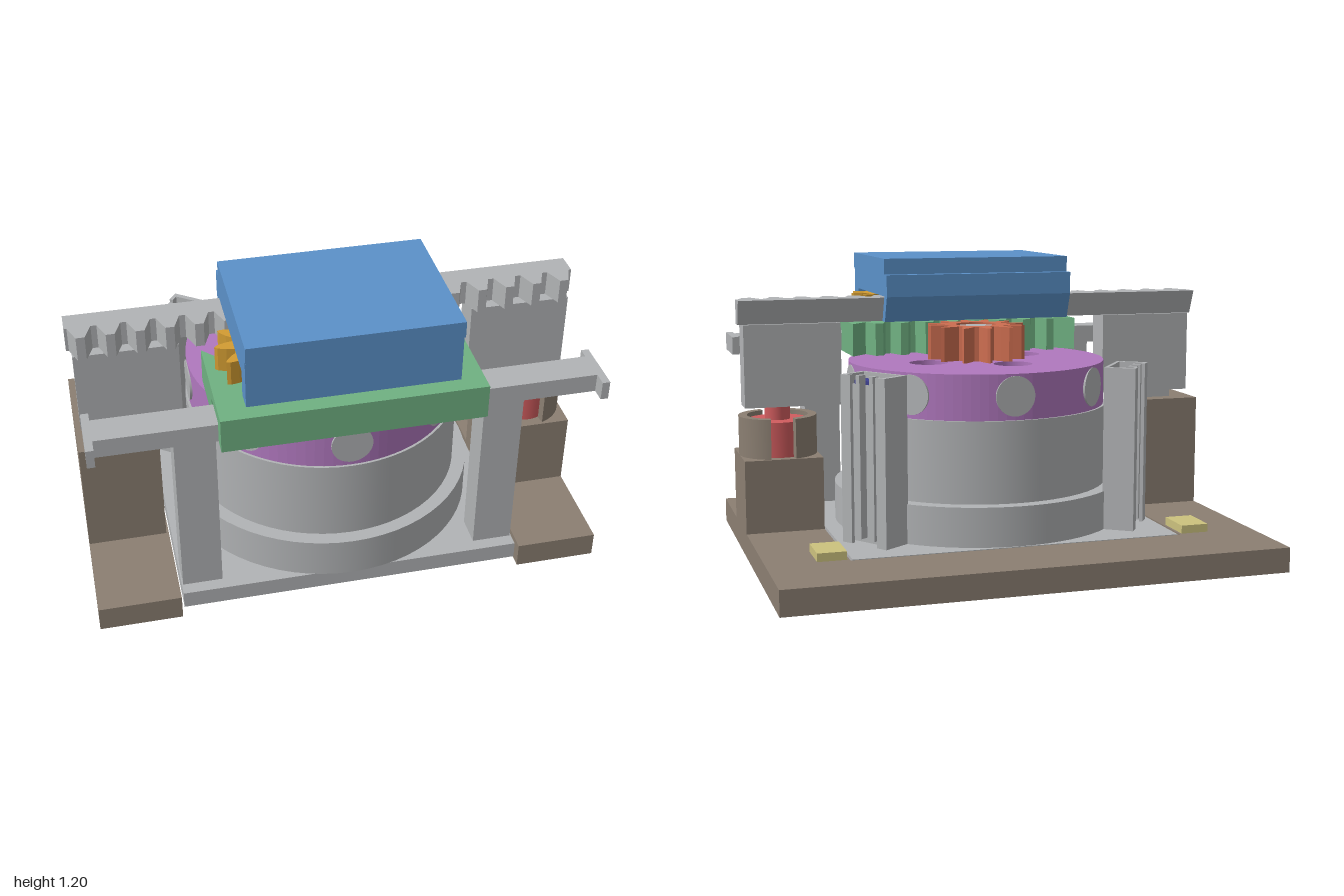
import * as THREE from 'three';

const mat = (name, color) => Object.assign(new THREE.MeshStandardMaterial({ color }), { name });

export function createModel() {
  const root = new THREE.Group();
  root.name = 'gripperMechanism';
  const brown = mat('brown', 0x8b7f72), grey = mat('grey', 0xb1b3b5), blue = mat('blue', 0x5b91c9),
    green = mat('green', 0x70b182), purple = mat('purple', 0xb078be), gold = mat('gold', 0xd29c32),
    orange = mat('orange', 0xcc6d50), red = mat('red', 0xd05c5e), yellow = mat('yellow', 0xccc27e),
    navy = mat('navy', 0x3e4090);
  const CZ = 0.165; // z of the turret axis

  const add = (name, geo, material, parent = root) => {
    const m = new THREE.Mesh(geo, material);
    m.name = name;
    parent.add(m);
    return m;
  };
  // box from its limits
  const box = (name, material, x0, x1, y0, y1, z0, z1, parent) =>
    add(name, new THREE.BoxGeometry(x1 - x0, y1 - y0, z1 - z0)
      .translate((x0 + x1) / 2, (y0 + y1) / 2, (z0 + z1) / 2), material, parent);
  const cyl = (name, material, r, x, z, y0, y1) =>
    add(name, new THREE.CylinderGeometry(r, r, y1 - y0, 64).translate(x, (y0 + y1) / 2, z), material);
  // outline given as [x, z]
  const outline = (pts) => new THREE.Shape(pts.map(([x, z]) => new THREE.Vector2(x, -z)));
  const hole = (x, z, r) => new THREE.Path().absarc(x, -z, r, 0, Math.PI * 2, true);
  // plan shape raised from y0 to y1
  const raise = (name, material, shape, y0, y1) =>
    add(name, new THREE.ExtrudeGeometry(shape, { depth: y1 - y0, bevelEnabled: false, curveSegments: 48 })
      .rotateX(-Math.PI / 2).translate(0, y0, 0), material);
  // side profile given as [z, y], swept along x
  const sweep = (name, material, pts, len) =>
    add(name, new THREE.ExtrudeGeometry(
      new THREE.Shape(pts.map(([z, y]) => new THREE.Vector2(-z, y))), { depth: len, bevelEnabled: false })
      .rotateY(Math.PI / 2).translate(-len / 2, 0, 0), material);
  const gearShape = (x, z, root0, tip, n) => {
    const pts = [];
    const profile = [[-0.36, root0], [-0.24, root0 + 0.03], [-0.1, tip - 0.01], [0, tip],
      [0.1, tip - 0.01], [0.24, root0 + 0.03], [0.36, root0]];
    for (let i = 0; i < n; i++)
      for (const [f, r] of profile) {
        const a = ((i + f) / n) * Math.PI * 2;
        pts.push([x + Math.cos(a) * r, z - Math.sin(a) * r]);
      }
    return outline(pts);
  };
  // row of trapezoid teeth between x0 and x1
  const teeth = (x0, x1, n, zRoot, zTip) => {
    const pts = [], p = (x1 - x0) / n;
    for (let i = 0; i < n; i++)
      for (const [f, z] of [[0.1, zRoot], [0.35, zTip], [0.65, zTip], [0.9, zRoot]])
        pts.push([x0 + (i + f) * p, z]);
    return pts;
  };

  // base frame, open to the front
  raise('baseFrame', brown, outline([[-1, -0.77], [1, -0.77], [1, 0.77], [0.68, 0.77], [0.68, -0.455],
    [-0.68, -0.455], [-0.68, 0.77], [-1, 0.77]]), 0, 0.1);

  // floor plate with screw holes and a pocket underneath
  const floor = outline([[-0.67, -0.445], [0.67, -0.445], [0.67, 0.75], [-0.67, 0.75]]);
  floor.holes.push(hole(0, CZ, 0.055));
  for (const sx of [-1, 1]) for (const sz of [-1, 1]) floor.holes.push(hole(sx * 0.165, CZ + sz * 0.165, 0.045));
  floor.holes.push(new THREE.Path([[-0.24, -0.3], [-0.24, -0.1], [0.24, -0.1], [0.24, -0.3]]
    .map(([x, z]) => new THREE.Vector2(x, -z))));
  raise('floorPlate', grey, floor, 0.03, 0.1);

  // turret body
  cyl('bodyFlange', grey, 0.605, 0, CZ, 0.1, 0.26);
  cyl('body', grey, 0.55, 0, CZ, 0.1, 0.59);

  // turret disc with counterbored holes
  const disc = (r) => {
    const s = new THREE.Shape().absarc(0, -CZ, 0.54, 0, Math.PI * 2, false);
    for (let i = 0; i < 4; i++) {
      const a = 1.2 + i * Math.PI / 2;
      s.holes.push(hole(Math.cos(a) * 0.248, CZ + Math.sin(a) * 0.248, r));
    }
    return s;
  };
  raise('discLower', purple, disc(0.042), 0.59, 0.7);
  raise('discUpper', purple, disc(0.08), 0.7, 0.773);
  for (let i = 0; i < 8; i++) {
    const plug = add('rimPlug', new THREE.CylinderGeometry(0.08, 0.08, 0.05, 40)
      .rotateX(Math.PI / 2).translate(0, 0, 0.518), grey);
    plug.position.set(0, 0.685, CZ);
    plug.rotation.y = i * Math.PI / 4;
  }

  // pinion on the turret
  const pinion = gearShape(0, CZ, 0.13, 0.21, 12);
  pinion.holes.push(hole(0, CZ, 0.085));
  raise('pinion', orange, pinion, 0.775, 0.918);
  cyl('pinionHub', grey, 0.085, 0, CZ, 0.77, 0.91);

  // sliding carriage: toothed back, channel underneath
  const backEdge = [[-0.5, 0.31], ...teeth(-0.44, 0.44, 8, 0.385, 0.31), [0.5, 0.31]];
  raise('carriageTop', green, outline([...backEdge, [0.5, 0.767], [-0.5, 0.767]]), 0.87, 0.918);
  raise('carriageBack', green, outline([...backEdge, [0.5, 0.56], [-0.5, 0.56]]), 0.78, 0.87);
  box('carriageLip', green, -0.5, 0.5, 0.78, 0.87, 0.705, 0.767);

  // guide rail through the carriage
  box('guideRail', grey, -0.97, 0.97, 0.78, 0.855, 0.575, 0.7);

  // toothed rack with a bevelled back
  raise('rackTeeth', grey, outline([[-1, 0.19], [-1, 0.24], ...teeth(-1, 1, 18, 0.24, 0.312),
    [1, 0.24], [1, 0.19]]), 0.94, 1.04);
  sweep('rackBack', grey, [[0.19, 0.94], [0.19, 1.04], [0.15, 1.04]], 2);

  // cover with a dovetail clamp
  sweep('cover', blue, [[0.745, 1.2], [0.745, 1.135], [0.73, 1.135], [0.73, 0.94], [0.655, 0.94],
    [0.655, 1.045], [0.146, 1.045], [0.184, 0.94], [0.14, 0.94], [0.1, 1.045], [0.1, 1.135],
    [0.144, 1.135], [0.144, 1.2]], 0.8);

  for (const s of [-1, 1]) {
    const span = (name, m, a, b, ...rest) => box(name, m, Math.min(s * a, s * b), Math.max(s * a, s * b), ...rest);
    raise('driveGear', gold, gearShape(s * 0.26, 0.475, 0.14, 0.21, 12), 0.94, 1.038);
    cyl('gearSpacer', green, 0.08, s * 0.255, 0.475, 0.91, 0.945);
    span('frontPillar', grey, 0.51, 0.665, 0.1, 0.78, 0.58, 0.7);
    span('railStop', grey, 0.95, 0.98, 0.78, 0.855, 0.532, 0.755);
    span('jawPost', grey, 0.58, 0.98, 0.6, 0.94, 0.168, 0.286);
    span('cornerPad', yellow, 0.69, 0.805, 0.1, 0.133, -0.44, -0.28);

    // finned tower with a small board on top
    const tower = new THREE.Group();
    tower.name = 'sensorTower';
    tower.position.set(s * 0.53, 0, -0.215);
    tower.rotation.y = s * (Math.PI / 2 + 0.62);
    root.add(tower);
    box('towerCore', grey, -0.115, 0.115, 0.1, 0.73, -0.065, 0.02, tower);
    box('towerInnerWall', grey, -0.115, 0.115, 0.73, 0.77, -0.065, -0.05, tower);
    for (const t of [-1, 1]) {
      box('towerSide', grey, t * 0.105 - 0.01, t * 0.105 + 0.01, 0.1, 0.77, -0.065, 0.065, tower);
      box('towerLip', grey, t * 0.085 - 0.02, t * 0.085 + 0.02, 0.1, 0.77, 0.05, 0.065, tower);
      box('towerFin', grey, t * 0.035 - 0.01, t * 0.035 + 0.01, 0.12, 0.77, 0.02, 0.055, tower);
    }
    box('sensorBoard', navy, -0.085, 0.085, 0.73, 0.745, -0.05, 0.018, tower);
  }

  // left support: round cup with a spring-loaded button
  box('cupSupport', brown, 0.68, 1, 0.1, 0.4, 0.067, 0.39);
  for (const a of [0, Math.PI]) {
    const arc = new THREE.Shape();
    arc.absarc(0.84, -0.227, 0.16, a - 1.25, a + 1.25, false);
    arc.absarc(0.84, -0.227, 0.125, a + 1.2, a - 1.2, true);
    raise('cupWall', brown, arc, 0.4, 0.563);
  }
  cyl('buttonBody', red, 0.122, 0.84, 0.227, 0.4, 0.545);
  cyl('buttonPin', red, 0.052, 0.84, 0.227, 0.545, 0.605);

  // right support: plain block
  box('blockSupport', brown, -1, -0.69, 0.1, 0.57, 0.1, 0.39);
  box('blockPad', grey, -0.9, -0.7, 0.57, 0.6, 0.17, 0.285);

  return root;
}
